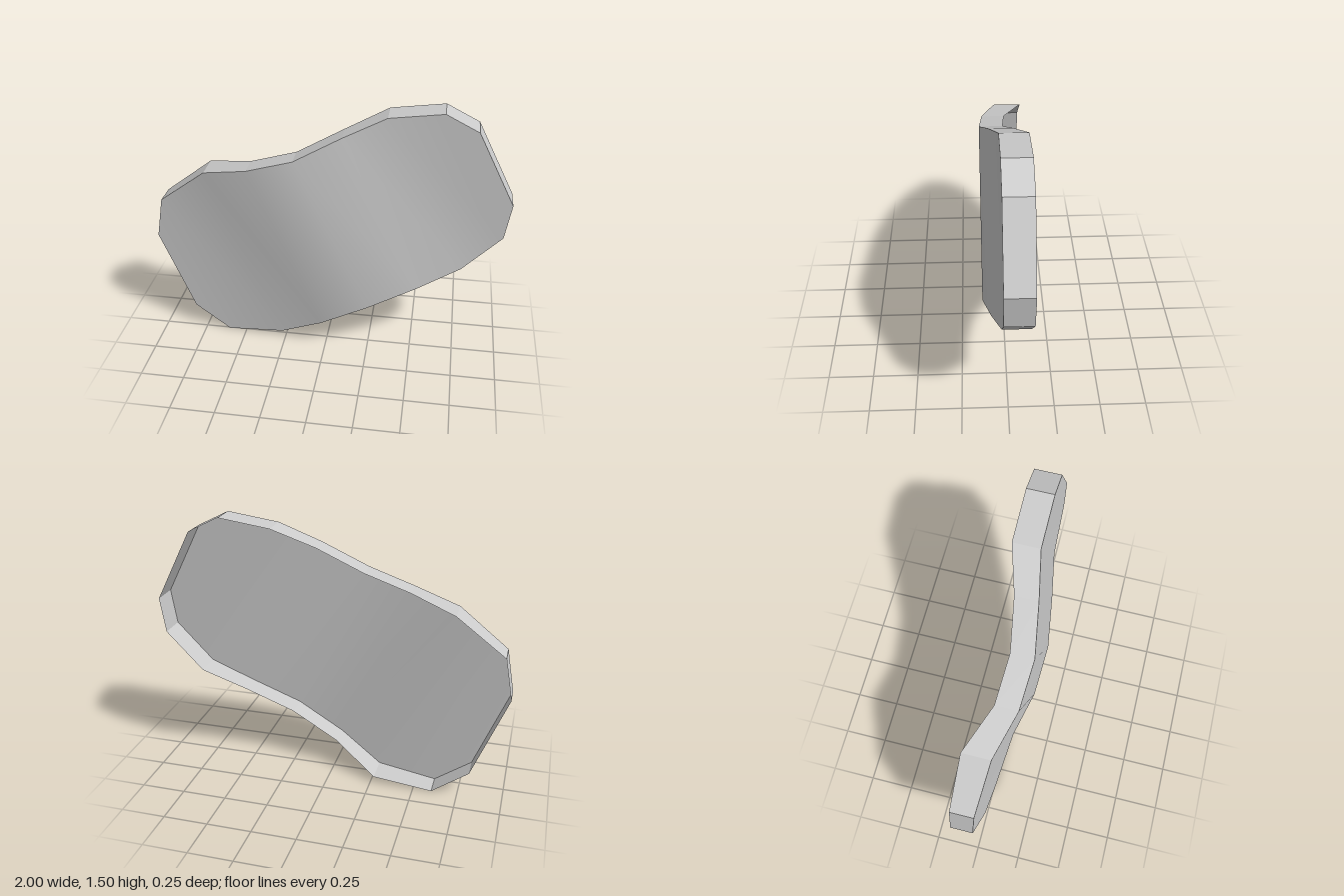
import * as THREE from 'three';

// Cross-sections along the bent panel:
// upper edge x, y, lower edge x, y, front z, back z
const SECTIONS = [
  [-1.0, 0.63, -0.81, 0.15, 0.0, -0.125],
  [-0.955, 0.87, -0.605, 0.0, 0.007, -0.125],
  [-0.685, 1.075, -0.27, 0.038, 0.035, -0.125],
  [-0.425, 1.14, -0.02, 0.18, 0.11, -0.018],
  [-0.165, 1.222, 0.25, 0.33, 0.127, -0.002],
  [0.09, 1.355, 0.52, 0.46, 0.083, -0.045],
  [0.32, 1.46, 0.76, 0.587, 0.035, -0.115],
  [0.612, 1.5, 0.97, 0.805, 0.035, -0.115],
  [0.79, 1.41, 1.0, 1.005, 0.035, -0.115],
];

// Skins a strip between paired points; each pair is [x, y, z, x, y, z]
function strip(pairs) {
  const index = [];
  for (let i = 0; i < pairs.length - 1; i++) {
    const a = i * 2;
    index.push(a, a + 1, a + 3, a, a + 3, a + 2);
  }
  const geometry = new THREE.BufferGeometry();
  geometry.setAttribute('position', new THREE.Float32BufferAttribute(pairs.flat(), 3));
  geometry.setIndex(index);
  geometry.computeVertexNormals();
  return geometry;
}

export function createModel() {
  const group = new THREE.Group();
  group.name = 'curvedShell';

  const addPart = (name, geometry, flatShading) => {
    const material = new THREE.MeshStandardMaterial({
      color: 0xcccccc,
      side: THREE.DoubleSide,
      flatShading,
    });
    const mesh = new THREE.Mesh(geometry, material);
    mesh.name = name;
    group.add(mesh);
  };

  // Smoothly bent front sheet
  const face = SECTIONS.map(([ux, uy, lx, ly, front]) => [ux, uy, front, lx, ly, front]);
  addPart('frontFace', strip(face), false);

  // Faceted rim around the outline, open at the back
  const lower = SECTIONS.map(([, , x, y, front, back]) => [x, y, front, x, y, back]);
  const upper = SECTIONS.map(([x, y, , , front, back]) => [x, y, front, x, y, back]).reverse();
  addPart('rim', strip([...lower, ...upper, lower[0]]), true);

  return group;
}
